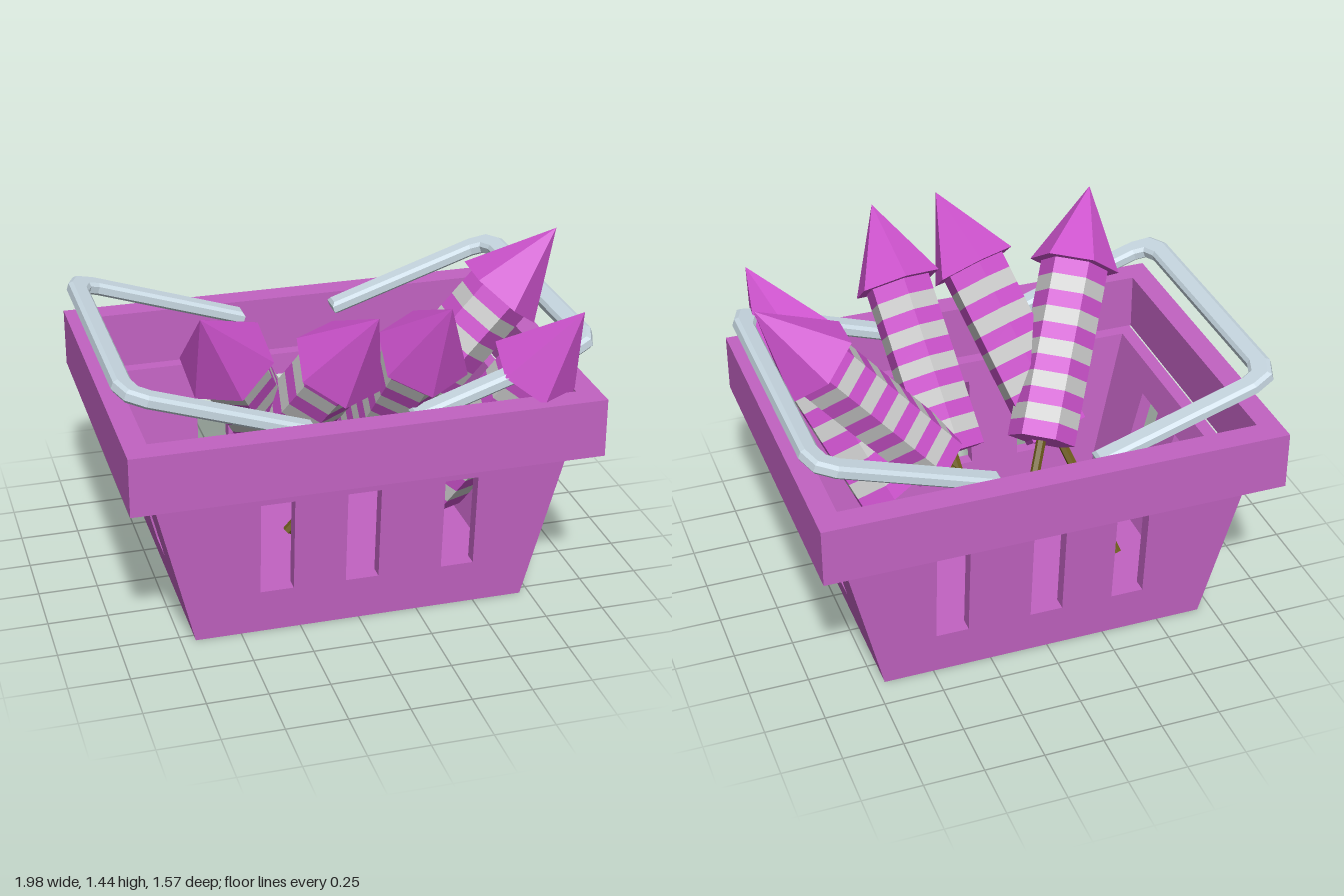
import * as THREE from 'three';

const mat = (color) => new THREE.MeshStandardMaterial({ color, flatShading: true });
const plastic = mat(0xc263c2), magenta = mat(0xcc52cc), pale = mat(0xc0c0c0);
const wood = mat(0x6b5a1a), metal = mat(0xc8d8e2);

function add(parent, name, geometry, material) {
  const mesh = new THREE.Mesh(geometry, material);
  mesh.name = name;
  parent.add(mesh);
  return mesh;
}

const polygon = (points, Type = THREE.Shape) => new Type(points.map(([x, y]) => new THREE.Vector2(x, y)));
const rect = (x, y, hw, hh, Type) =>
  polygon([[x - hw, y - hh], [x + hw, y - hh], [x + hw, y + hh], [x - hw, y + hh]], Type);

// Tapered wall panel with slots, leaning outwards towards the top
function wallGeometry(bottom, top, outBottom, outTop, slots, slotY, slotW, slotH) {
  const h = 0.7, t = 0.058;
  const shape = polygon([[-bottom, 0], [bottom, 0], [top, h], [-top, h]]);
  for (const x of slots) shape.holes.push(rect(x, slotY, slotW, slotH, THREE.Path));
  const g = new THREE.ExtrudeGeometry(shape, { depth: t, bevelEnabled: false });
  const p = g.attributes.position;
  for (let i = 0; i < p.count; i++) {
    p.setZ(i, p.getZ(i) - t + outBottom + (outTop - outBottom) * p.getY(i) / h);
  }
  g.computeVertexNormals();
  return g;
}

function createBasket() {
  const basket = new THREE.Group();
  basket.name = 'basket';
  const slots = [-0.36, 0, 0.41];
  for (const s of [1, -1]) {
    const long = wallGeometry(0.7, 0.87, 0.58, 0.635, slots.map((x) => x * s), 0.398, 0.07, 0.207);
    add(basket, s > 0 ? 'frontWall' : 'backWall', long, plastic).rotation.y = s > 0 ? 0 : Math.PI;
    const short = wallGeometry(0.576, 0.631, 0.7, 0.87, [-0.175, 0.175], 0.4, 0.085, 0.175);
    add(basket, s > 0 ? 'leftWall' : 'rightWall', short, plastic).rotation.y = s * Math.PI / 2;
  }
  add(basket, 'floor', new THREE.BoxGeometry(1.398, 0.05, 1.158), plastic).position.y = 0.026;

  // Thick rim around the opening
  const rim = rect(0, 0, 0.975, 0.75);
  rim.holes.push(rect(0, 0, 0.88, 0.64, THREE.Path));
  const rimGeometry = new THREE.ExtrudeGeometry(rim, { depth: 0.25, bevelEnabled: false });
  add(basket, 'rim', rimGeometry.rotateX(-Math.PI / 2), plastic).position.y = 0.695;

  // Two U-shaped handles folded out to the sides
  const outer = [[0, -0.64], [0.7, -0.64], [0.785, -0.61], [0.82, -0.52]];
  const inner = [[0, -0.55], [0.675, -0.55], [0.715, -0.535], [0.735, -0.48]];
  const flip = (list) => list.map(([x, y]) => [x, -y]);
  const outline = polygon([...outer, ...flip(outer).reverse(), ...flip(inner), ...inner.slice().reverse()]);
  const bar = new THREE.ExtrudeGeometry(outline, {
    depth: 0.03, bevelEnabled: true, bevelSegments: 1, bevelSize: 0.015, bevelThickness: 0.013, bevelOffset: -0.015,
  });
  bar.translate(0, 0, -0.015).rotateX(Math.PI / 2).rotateZ(0.319).translate(0.205, 0.895, 0);
  add(basket, 'leftHandle', bar, metal);
  add(basket, 'rightHandle', bar, metal).rotation.y = Math.PI;

  basket.position.set(0.01, 0, -0.04);
  return basket;
}

// Striped rocket, built downwards from its tip at the local origin
function createRocket(tip, tail, length, hasStick) {
  const rocket = new THREE.Group();
  rocket.name = 'rocket';
  const coneLength = 0.36, stripes = 11;
  const cone = new THREE.ConeGeometry(0.195, coneLength, 6);
  add(rocket, 'noseCone', cone, magenta).position.y = -coneLength / 2;
  const step = (length - coneLength) / stripes;
  const band = new THREE.CylinderGeometry(0.147, 0.147, step, 6);
  for (let i = 0; i < stripes; i++) {
    add(rocket, 'bodyStripe', band, i % 2 ? pale : magenta).position.y = -length + step * (i + 0.5);
  }
  if (hasStick) {
    const stick = new THREE.CylinderGeometry(0.021, 0.021, 0.75, 6);
    add(rocket, 'stick', stick, wood).position.y = -1.375;
  }
  const top = new THREE.Vector3(...tip);
  const axis = top.clone().sub(new THREE.Vector3(...tail)).normalize();
  rocket.position.copy(top);
  rocket.quaternion.setFromUnitVectors(new THREE.Vector3(0, 1, 0), axis);
  return rocket;
}

export function createModel() {
  const model = new THREE.Group();
  model.name = 'basketOfRockets';
  model.add(createBasket());
  // Tip, tail end, length of cone and body, stick
  const rockets = [
    [[-0.65, 1.44, 0.61], [0.02, 0.18, -0.31], 1.14, true],
    [[0, 1.44, 0.78], [-0.46, 0.11, -0.29], 1.16, true],
    [[0.295, 1.44, 0.765], [0.11, 0.08, -0.34], 1.12, true],
    [[0.89, 1.31, 0.645], [0.44, 0.36, 0.15], 1.16, false],
    [[0.995, 1.44, 0.055], [-0.15, 0.13, -0.03], 1.1, true],
  ];
  for (const r of rockets) model.add(createRocket(...r));
  return model;
}
